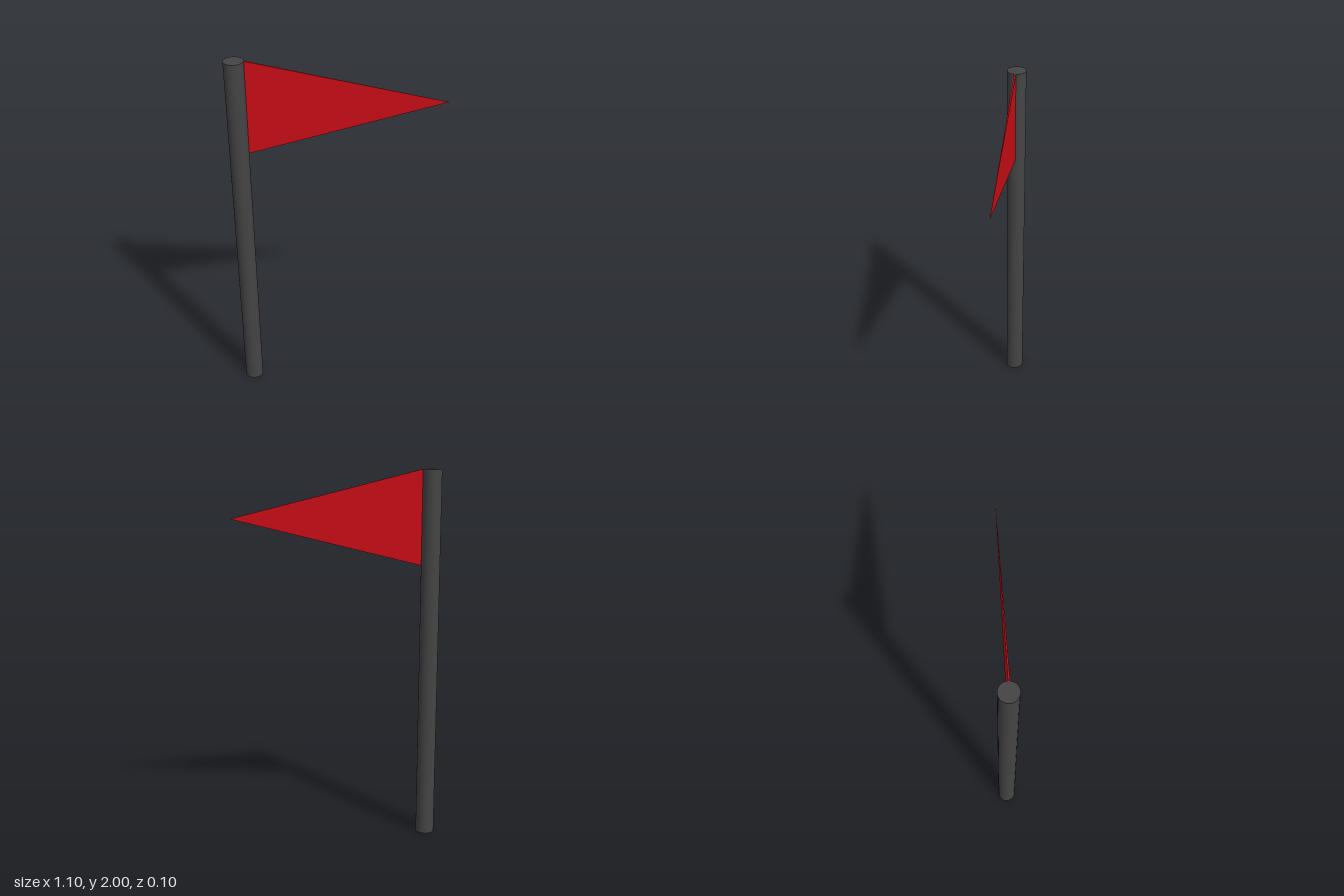
import * as THREE from 'three';

const POLE_X = -0.5, POLE_R = 0.05, HEIGHT = 2;
const FLAG_DROP = 0.5, FLAG_THICK = 0.009, TIP_X = 0.55;

function addPart(group, name, geometry, color, options = {}) {
  const mesh = new THREE.Mesh(geometry, new THREE.MeshStandardMaterial({ color, ...options }));
  mesh.name = name;
  group.add(mesh);
  return mesh;
}

export function createModel() {
  const group = new THREE.Group();
  group.name = 'pennantFlag';

  // Upright round pole
  const pole = addPart(group, 'pole',
    new THREE.CylinderGeometry(POLE_R, POLE_R, HEIGHT, 32), 0x444444);
  pole.position.set(POLE_X, HEIGHT / 2, 0);

  // Thin pennant: a four-sided pyramid laid on its side, tapering to a point
  const startX = POLE_X + POLE_R;
  const length = TIP_X - startX;
  const pennant = new THREE.ConeGeometry(Math.SQRT1_2, 1, 4)
    .rotateY(Math.PI / 4)
    .rotateZ(-Math.PI / 2)
    .scale(length, FLAG_DROP, FLAG_THICK);
  const flag = addPart(group, 'pennant', pennant, 0xc90d15, { flatShading: true });
  flag.position.set(startX + length / 2, HEIGHT - FLAG_DROP / 2, 0.004);

  return group;
}
